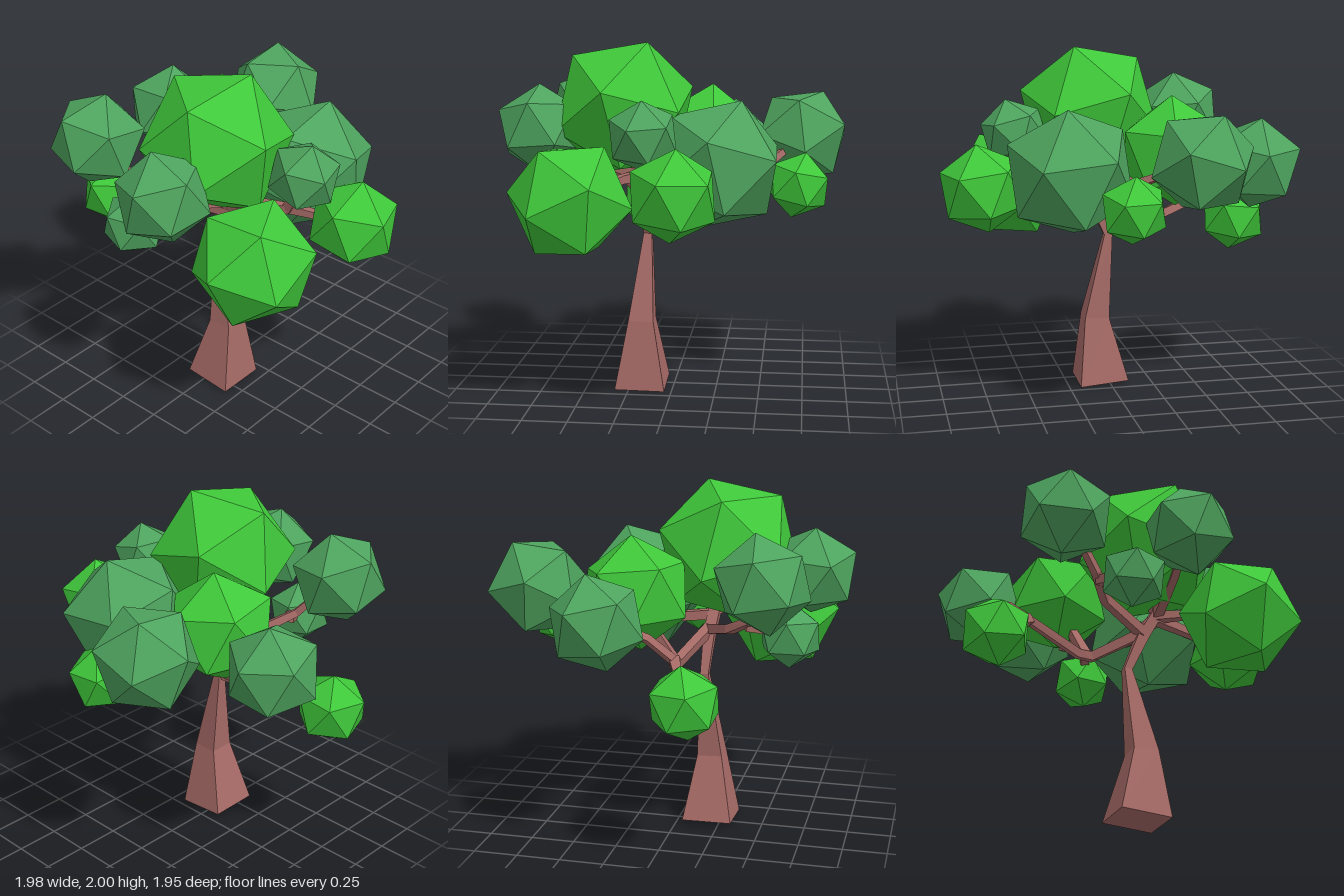
import * as THREE from 'three';

const mat = (color) => new THREE.MeshStandardMaterial({ color, flatShading: true });

// Square-section limb swept along points [x, y, z, width]
function limbGeometry(points) {
  const centres = points.map((p) => new THREE.Vector3(p[0], p[1], p[2]));
  const last = centres.length - 1;
  const pos = [], index = [];
  const side = new THREE.Vector3(1, 0, 0);
  centres.forEach((c, i) => {
    const t = new THREE.Vector3();
    if (i < last) t.add(centres[i + 1].clone().sub(c).normalize());
    if (i > 0) t.add(c.clone().sub(centres[i - 1]).normalize());
    t.normalize();
    if (i === 0 && Math.abs(t.x) > 0.8) side.set(0, 0, 1);
    side.addScaledVector(t, -side.dot(t)).normalize();
    const up = new THREE.Vector3().crossVectors(t, side);
    const h = points[i][3] / 2;
    for (const [a, b] of [[1, 1], [-1, 1], [-1, -1], [1, -1]]) {
      const v = c.clone().addScaledVector(side, a * h).addScaledVector(up, b * h);
      pos.push(v.x, v.y, v.z);
    }
    if (i < last) {
      for (let k = 0; k < 4; k++) {
        const a = i * 4 + k, b = i * 4 + (k + 1) % 4;
        index.push(a, b, b + 4, a, b + 4, a + 4);
      }
    }
  });
  const e = last * 4;
  index.push(0, 2, 1, 0, 3, 2, e, e + 1, e + 2, e, e + 2, e + 3);
  const g = new THREE.BufferGeometry();
  g.setAttribute('position', new THREE.Float32BufferAttribute(pos, 3));
  g.setIndex(index);
  const flat = g.toNonIndexed();
  flat.computeVertexNormals();
  return flat;
}

// Branch: a limb through points [x, y, z] that thins evenly towards its tip
function branchGeometry(path) {
  return limbGeometry(path.map((p, i) => [...p, 0.057 - 0.022 * i / (path.length - 1)]));
}

// Orthonormal basis from one corner direction and an adjacent corner direction
function basis(a, b) {
  const u = a.clone().normalize();
  const v = b.clone().addScaledVector(u, -b.dot(u)).normalize();
  return new THREE.Matrix4().makeBasis(u, v, new THREE.Vector3().crossVectors(u, v));
}

const PHI = (1 + Math.sqrt(5)) / 2;
const icoBasis = basis(new THREE.Vector3(-1, PHI, 0), new THREE.Vector3(1, PHI, 0));

// Icosahedron turned so an upper corner and its neighbour lie above the given x, z points
function leafGeometry([x, y, z, r], [ax, az], [bx, bz]) {
  const dx = ax - x, dz = az - z, ex = bx - x, ez = bz - z;
  const ay = Math.sqrt(Math.max(r * r - dx * dx - dz * dz, 0.01 * r * r));
  const by = (r * r / Math.sqrt(5) - dx * ex - dz * ez) / ay;
  const turn = basis(new THREE.Vector3(dx, ay, dz), new THREE.Vector3(ex, by, ez))
    .multiply(icoBasis.clone().invert());
  return new THREE.IcosahedronGeometry(r, 0).applyMatrix4(turn).translate(x, y, z);
}

export function createModel() {
  const tree = new THREE.Group();
  tree.name = 'tree';
  const bark = mat(0xa76b67), bright = mat(0x3fc83a), dark = mat(0x4ea45e);
  const add = (parent, name, geometry, material) => {
    const mesh = new THREE.Mesh(geometry, material);
    mesh.name = name;
    parent.add(mesh);
  };

  // Tapered trunk, leaning at the top
  add(tree, 'trunk', limbGeometry([
    [0.04, 0.012, 0.185, 0.288], [0.072, 0.4, 0.18, 0.145], [0, 0.9, 0.152, 0.048],
    [0.09, 1.12, 0.16, 0.065], [0.17, 1.27, 0.18, 0.065], [0.12, 1.5, 0.24, 0.04],
  ]), bark);

  // Branches, each ending inside a leaf cluster
  const branches = new THREE.Group();
  branches.name = 'branches';
  tree.add(branches);
  [
    [[0.1, 1.15, 0.16], [-0.17, 1.005, 0.03], [-0.25, 1.01, 0.03], [-0.58, 1.13, 0.11], [-0.65, 1.26, -0.02], [-0.74, 1.36, -0.22]],
    [[-0.57, 1.13, 0.11], [-0.66, 1.08, 0.15], [-0.77, 0.99, 0.2]],
    [[-0.21, 1.01, 0.03], [-0.25, 1.2, -0.08], [-0.3, 1.4, -0.16]],
    [[0.1, 1.14, 0.16], [-0.2, 1.22, 0.33], [-0.31, 1.3, 0.47], [-0.48, 1.5, 0.56]],
    [[-0.28, 1.27, 0.44], [-0.2, 1.22, 0.62]],
    [[0.15, 1.22, 0.17], [0.1, 1.2, -0.1], [0.03, 1.25, -0.42], [-0.02, 1.31, -0.54], [-0.28, 1.42, -0.7]],
    [[-0.01, 1.29, -0.52], [0.04, 1.21, -0.68]],
    [[0.1, 1.2, -0.06], [0.27, 1.3, -0.22]],
    [[0.16, 1.25, 0.18], [0.3, 1.25, 0.26], [0.52, 1.18, 0.47]],
    [[0.16, 1.24, 0.18], [0.45, 1.25, 0.06], [0.74, 1.23, -0.05]],
    [[0.42, 1.25, 0.07], [0.54, 1.48, 0.1]],
    [[0.17, 1.26, 0.19], [0.15, 1.36, 0.48], [0.13, 1.48, 0.7]],
  ].forEach((path, i) => add(branches, `branch${i + 1}`, branchGeometry(path), bark));

  // Leaf clusters: [centre and radius], [upper corner x, z], [adjacent corner x, z], material
  const leaves = new THREE.Group();
  leaves.name = 'leaves';
  tree.add(leaves);
  [
    [[-0.322, 1.44, -0.725, 0.29], [-0.4, -0.845], [-0.15, -0.71], dark],
    [[0.04, 1.195, -0.71, 0.19], [0.04, -0.75], [0.13, -0.88], bright],
    [[0.295, 1.335, -0.275, 0.38], [0.33, -0.4], [0.5, -0.6], dark],
    [[-0.765, 1.355, -0.26, 0.265], [-0.78, -0.31], [-0.76, -0.53], dark],
    [[-0.31, 1.425, -0.17, 0.318], [-0.29, -0.2], [-0.25, -0.48], bright],
    [[0.755, 1.23, -0.07, 0.255], [0.79, -0.09], [0.92, -0.29], bright],
    [[0.55, 1.515, 0.11, 0.2], [0.6, 0.11], [0.69, -0.04], dark],
    [[0.085, 1.62, 0.27, 0.42], [0.2, 0.125], [-0.195, 0.28], bright],
    [[-0.79, 0.965, 0.215, 0.207], [-0.81, 0.2], [-0.67, 0.04], bright],
    [[-0.527, 1.55, 0.568, 0.27], [-0.49, 0.52], [-0.6, 0.31], dark],
    [[-0.168, 1.2, 0.665, 0.185], [-0.155, 0.665], [-0.22, 0.49], dark],
    [[0.13, 1.505, 0.745, 0.26], [0.075, 0.76], [0.36, 0.78], dark],
    [[0.54, 1.165, 0.51, 0.347], [0.695, 0.64], [0.335, 0.63], bright],
  ].forEach(([ball, a, b, m], i) => add(leaves, `leafCluster${i + 1}`, leafGeometry(ball, a, b), m));

  return tree;
}
